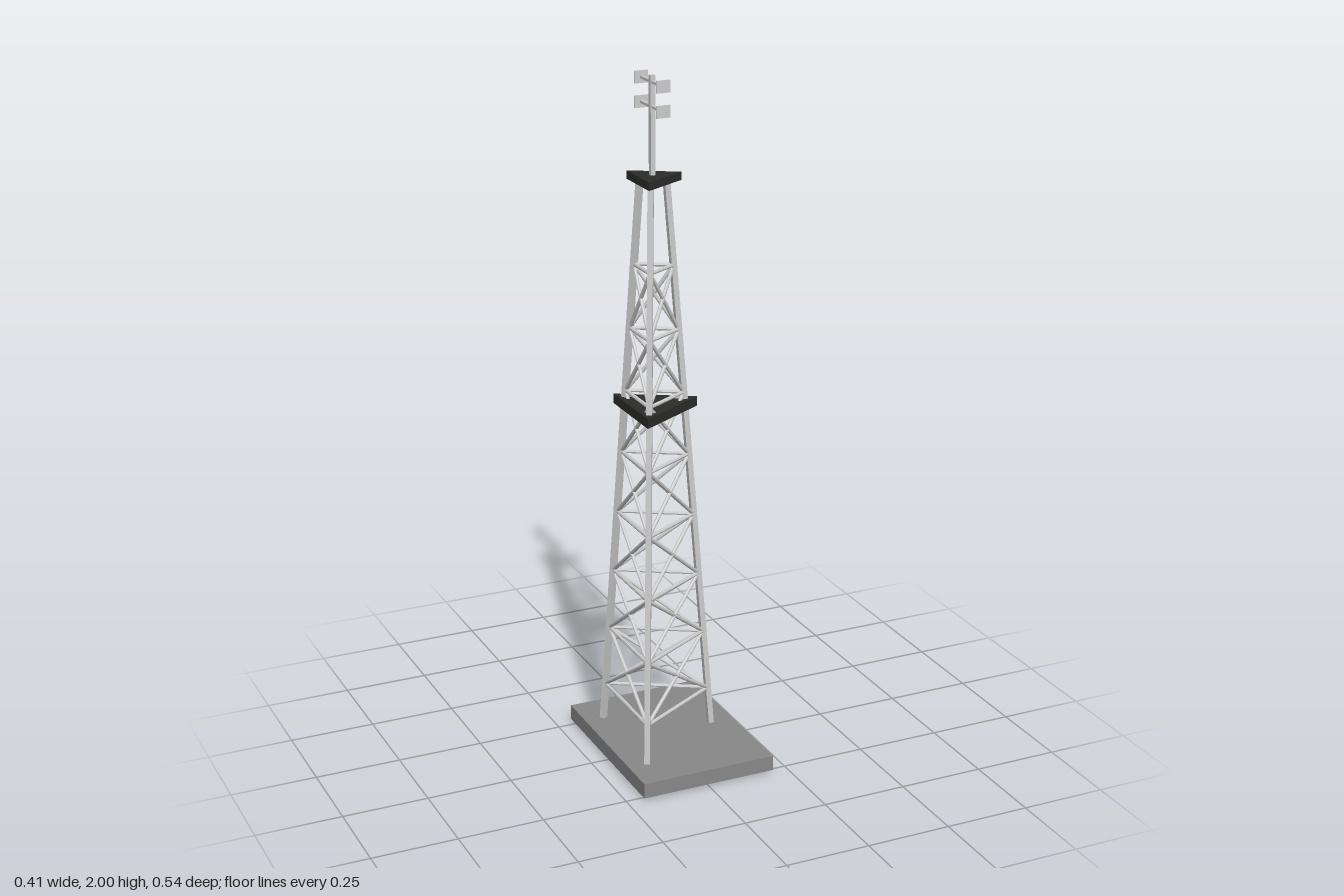
import * as THREE from 'three';

const steel = new THREE.MeshStandardMaterial({ color: 0xcccccc, flatShading: true });
const dark = new THREE.MeshStandardMaterial({ color: 0x2c2c2a, flatShading: true });
const concrete = new THREE.MeshStandardMaterial({ color: 0x888888, flatShading: true });

const CENTRE_X = -0.052;
const TOP_Y = 1.71;

// Point on the centre line of leg i at height y; the legs taper towards the top
function legPoint(i, y) {
  const r = THREE.MathUtils.lerp(0.188, 0.042, y / TOP_Y);
  const a = (i * Math.PI * 2) / 3;
  return new THREE.Vector3(CENTRE_X + r * Math.cos(a), y, r * Math.sin(a));
}

function add(parent, name, geometry, material, x = 0, y = 0, z = 0) {
  const mesh = new THREE.Mesh(geometry, material);
  mesh.name = name;
  mesh.position.set(x, y, z);
  parent.add(mesh);
  return mesh;
}

// Bar from a to b, with its local x axis turned towards 'outward'
function bar(parent, name, geometryOfLength, a, b, outward) {
  const dir = b.clone().sub(a);
  const mesh = add(parent, name, geometryOfLength(dir.length()), steel);
  const yAxis = dir.normalize();
  const zAxis = outward.clone().cross(yAxis).normalize();
  const xAxis = yAxis.clone().cross(zAxis);
  mesh.quaternion.setFromRotationMatrix(new THREE.Matrix4().makeBasis(xAxis, yAxis, zAxis));
  mesh.position.copy(a).add(b).multiplyScalar(0.5);
}

const legShape = (length) => new THREE.BoxGeometry(0.016, length, 0.016);
const braceShape = (length) => new THREE.CylinderGeometry(0.0055, 0.0055, length, 8);

// Triangular deck with a corner over each leg
function platform(parent, name, radius, y, height) {
  const deck = add(parent, name, new THREE.CylinderGeometry(radius, radius, height, 3), dark, CENTRE_X, y);
  deck.rotation.y = Math.PI / 2;
  // CylinderGeometry starts at +z, so a quarter turn points the first corner to +x
}

export function createModel() {
  const tower = new THREE.Group();
  tower.name = 'latticeTower';

  // Foundation slab
  add(tower, 'foundation', new THREE.BoxGeometry(0.405, 0.045, 0.54), concrete, 0, 0.031, 0);

  // Legs and lattice on the three faces
  const legs = new THREE.Group();
  legs.name = 'legs';
  const lattice = new THREE.Group();
  lattice.name = 'lattice';
  tower.add(legs, lattice);
  const levels = Array.from({ length: 8 }, (_, k) => 0.168 + k * 0.186);
  for (let i = 0; i < 3; i++) {
    const a = (i * Math.PI * 2) / 3;
    bar(legs, 'leg', legShape, legPoint(i, 0.001), legPoint(i, TOP_Y),
      new THREE.Vector3(Math.cos(a), 0, Math.sin(a)));

    const j = (i + 1) % 3;
    const faceOut = new THREE.Vector3(Math.cos(a + Math.PI / 3), 0, Math.sin(a + Math.PI / 3));
    levels.forEach((y, k) => {
      bar(lattice, 'horizontalBrace', braceShape, legPoint(i, y), legPoint(j, y), faceOut);
      if (k === levels.length - 1) return;
      const next = levels[k + 1];
      bar(lattice, 'diagonalBrace', braceShape, legPoint(i, y), legPoint(j, next), faceOut);
      bar(lattice, 'diagonalBrace', braceShape, legPoint(j, y), legPoint(i, next), faceOut);
    });
  }

  // Platforms
  platform(tower, 'middlePlatform', 0.136, 1.065, 0.028);
  platform(tower, 'topPlatform', 0.086, 1.717, 0.023);

  // Mast with two crossarms, each ending in a pair of panels
  const antenna = new THREE.Group();
  antenna.name = 'antenna';
  antenna.position.x = CENTRE_X;
  tower.add(antenna);
  add(antenna, 'mast', new THREE.BoxGeometry(0.014, 0.28, 0.014), steel, 0, 1.86, 0);
  for (const y of [1.915, 1.982]) {
    add(antenna, 'crossarm', new THREE.BoxGeometry(0.009, 0.007, 0.142), steel, 0, y, 0);
    for (const side of [-1, 1]) {
      add(antenna, 'antennaPanel', new THREE.BoxGeometry(0.04, 0.034, 0.004), steel, 0, y, side * 0.071);
    }
  }
  return tower;
}
